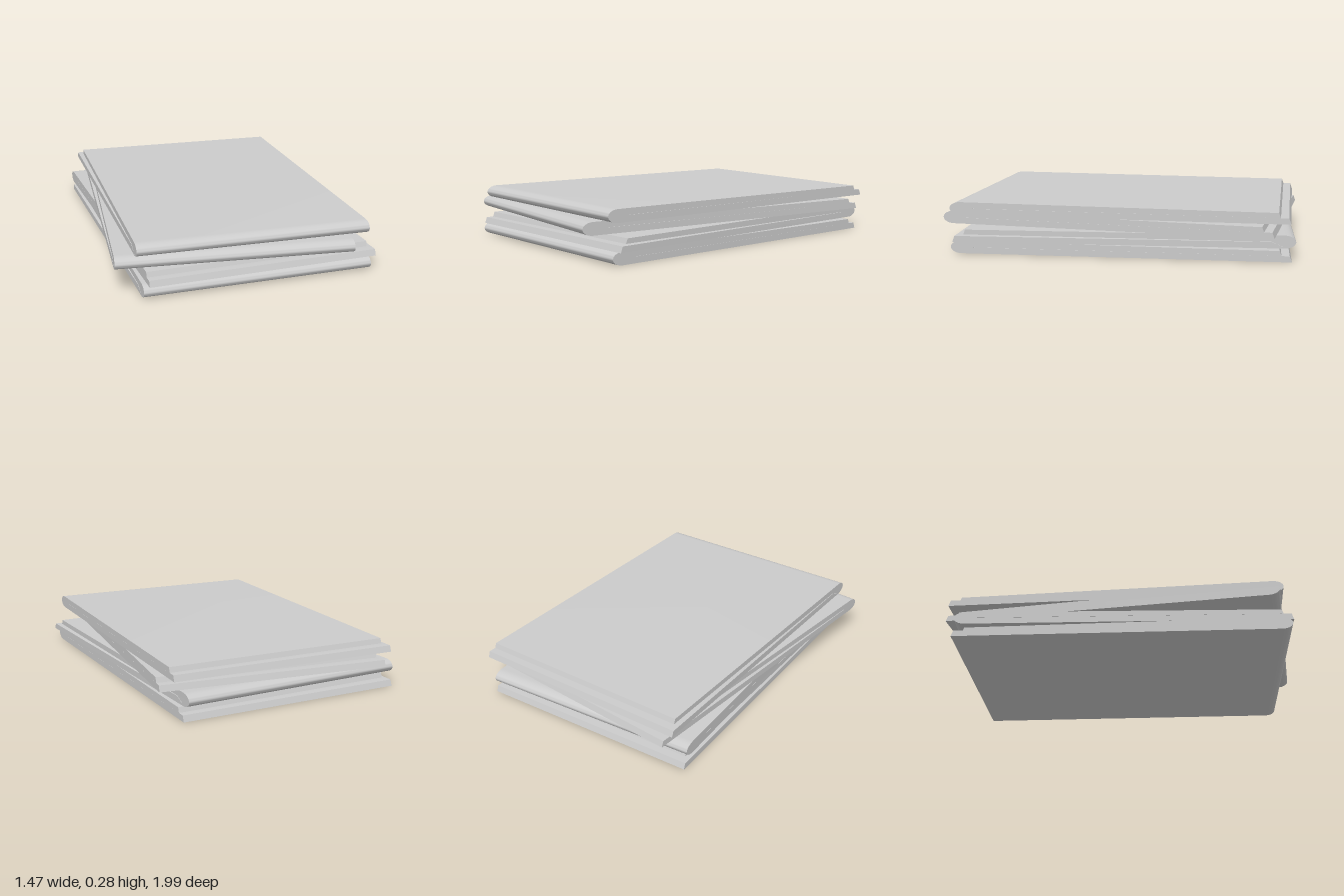
import * as THREE from 'three';
import { toCreasedNormals } from 'three/addons/utils/BufferGeometryUtils.js';

const WIDTH = 1.27, THICK = 0.07, FRONT = 0.93, FOLD = 0.06;

// Folded sheet: round fold at +z, two stepped leaves at the open -z end
function foldedSheetGeometry() {
  const h = THICK / 2;
  const profile = new THREE.Shape();
  profile.moveTo(-FRONT, 0);
  profile.lineTo(FRONT - FOLD, 0);
  for (let i = 1; i <= 16; i++) {
    const a = -Math.PI / 2 + (Math.PI * i) / 16;
    profile.lineTo(FRONT - FOLD + FOLD * Math.cos(a), h + h * Math.sin(a));
  }
  profile.lineTo(-0.865, 0.064);
  profile.lineTo(-0.875, 0.037);
  profile.lineTo(0.8, h + 0.0005); // thin slit between the leaves
  profile.lineTo(0.8, h - 0.0005);
  profile.lineTo(-0.918, 0.033);

  const geo = new THREE.ExtrudeGeometry(profile, { depth: WIDTH, bevelEnabled: false });
  geo.rotateY(-Math.PI / 2).translate(WIDTH / 2, 0, 0);

  // The leaves drift apart on one side towards the open end
  const p = geo.attributes.position;
  for (let i = 0; i < p.count; i++) {
    const t = (FRONT - p.getZ(i)) / (2 * FRONT);
    const upper = p.getY(i) > h;
    if (p.getX(i) < 0) p.setX(i, p.getX(i) + t * (upper ? 0.018 : -0.01));
    else if (upper) p.setY(i, p.getY(i) - 0.004 * t);
  }
  return toCreasedNormals(geo, 0.6);
}

export function createModel() {
  const model = new THREE.Group();
  model.name = 'paperStack';
  const material = new THREE.MeshStandardMaterial({ color: 0xcccccc, side: THREE.DoubleSide });
  const geometry = foldedSheetGeometry();

  // Bottom to top: x, z, turn
  const layers = [
    [0.02, -0.015, 0.01],
    [0.024, -0.02, Math.PI + 0.035],
    [-0.003, -0.003, -0.112],
    [0.03, -0.03, -0.028],
  ];
  layers.forEach(([x, z, turn], i) => {
    const sheet = new THREE.Mesh(geometry, material);
    sheet.name = `foldedPaper${i + 1}`;
    sheet.position.set(x, i * 0.0705, z);
    sheet.rotation.y = turn;
    model.add(sheet);
  });
  return model;
}
